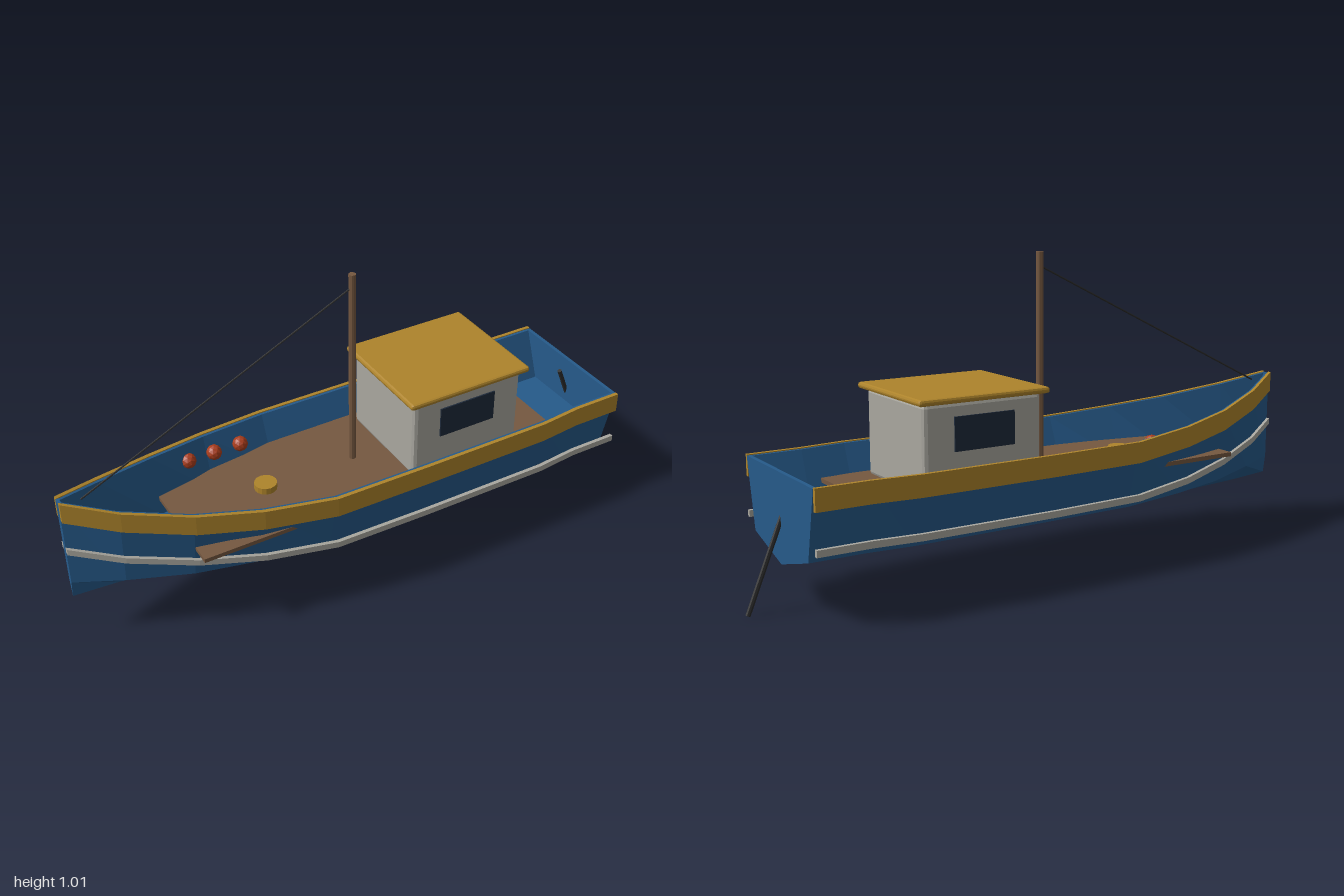
import * as THREE from 'three';
import { RoundedBoxGeometry } from 'three/addons/geometries/RoundedBoxGeometry.js';

const mat = (name, color) => {
  const m = new THREE.MeshStandardMaterial({ color });
  m.name = name;
  m.flatShading = true;
  return m;
};

// Hull stations from bow to stern: x, half beam, sheer height, chine height, keel height, stripe height
const STATIONS = [
  [-1, 0.012, 0.545, 0.235, 0.172, 0.365],
  [-0.85, 0.09, 0.503, 0.225, 0.161, 0.325],
  [-0.65, 0.168, 0.464, 0.21, 0.152, 0.287],
  [-0.45, 0.222, 0.44, 0.204, 0.146, 0.259],
  [-0.22, 0.26, 0.422, 0.198, 0.141, 0.24],
  [0.1, 0.262, 0.42, 0.196, 0.14, 0.236],
  [0.56, 0.262, 0.42, 0.195, 0.14, 0.236],
  [0.71, 0.247, 0.42, 0.195, 0.14, 0.236],
  [0.88, 0.247, 0.42, 0.195, 0.14, 0.236],
].map(([x, w, top, chineY, keel, stripe]) => ({ x, w, top, chineY, keel, stripe, chineW: w * 0.805 }));

// Skin closed rings of [z, y] points placed along x; caps need a convex ring
function loft(xs, rings, caps) {
  const pos = [];
  const put = (k, i) => pos.push(xs[k], rings[k][i][1], rings[k][i][0]);
  const n = rings[0].length;
  const last = rings.length - 1;
  for (let k = 0; k < last; k++) {
    for (let i = 0; i < n; i++) {
      const j = (i + 1) % n;
      put(k, i); put(k, j); put(k + 1, j);
      put(k, i); put(k + 1, j); put(k + 1, i);
    }
  }
  if (caps) {
    for (let i = 1; i < n - 1; i++) {
      put(0, 0); put(0, i + 1); put(0, i);
      put(last, 0); put(last, i); put(last, i + 1);
    }
  }
  const g = new THREE.BufferGeometry();
  g.setAttribute('position', new THREE.Float32BufferAttribute(pos, 3));
  g.computeVertexNormals();
  return g;
}

// Outer hull section from the left sheer round the keel to the other sheer
const outerRing = (s) => [
  [s.w, s.top - 0.003], [s.chineW, s.chineY], [0, s.keel],
  [-s.chineW, s.chineY], [-s.w, s.top - 0.003],
];

// Hull section with an inner skin and flat floor
function shellRing(s) {
  const inner = Math.max(s.w - 0.012, 0.001);
  const floor = s.chineW * 0.86;
  const floorY = s.chineY + 0.055;
  return [...outerRing(s), [-inner, s.top - 0.003], [-floor, floorY], [floor, floorY], [inner, s.top - 0.003]];
}

// Upright band following the plan outline on one side
function sideBand(side, yTop, height, thickness) {
  const rings = STATIONS.map((s) => {
    const y = yTop(s);
    const a = s.w - 0.002, b = s.w + thickness;
    const r = [[b, y], [b, y - height], [a, y - height], [a, y]];
    return side > 0 ? r : r.map(([z, v]) => [-z, v]).reverse();
  });
  return loft(STATIONS.map((s) => s.x), rings, true);
}

// Round bar between two points
function bar(a, b, radius, sides) {
  const from = new THREE.Vector3(...a), to = new THREE.Vector3(...b);
  const dir = to.clone().sub(from);
  const g = new THREE.CylinderGeometry(radius, radius, dir.length(), sides);
  g.applyQuaternion(new THREE.Quaternion().setFromUnitVectors(new THREE.Vector3(0, 1, 0), dir.normalize()));
  const mid = from.add(to).multiplyScalar(0.5);
  return g.translate(mid.x, mid.y, mid.z);
}

export function createModel() {
  const group = new THREE.Group();
  group.name = 'fishingBoat';
  const blue = mat('hullBlue', 0x265a8a);
  const ochre = mat('ochre', 0xae842b);
  const brown = mat('deckBrown', 0x755840);
  const grey = mat('cabinGrey', 0xa9a79f);
  const glass = mat('darkGlass', 0x1e2a3a);
  const red = mat('floatRed', 0xa83c1c);
  const black = mat('ironBlack', 0x2a2a2a);

  const add = (name, geometry, material, x = 0, y = 0, z = 0) => {
    const m = new THREE.Mesh(geometry, material);
    m.name = name;
    m.position.set(x, y, z);
    group.add(m);
    return m;
  };

  // Hull shell, stem and transom
  const bow = STATIONS[0], stern = STATIONS[STATIONS.length - 1];
  add('hull', loft(STATIONS.map((s) => s.x), STATIONS.map(shellRing), false), blue);
  add('stem', loft([bow.x, bow.x + 0.01], [outerRing(bow), outerRing(bow)], true), blue);
  add('transom', loft([stern.x - 0.012, stern.x + 0.001], [outerRing(stern), outerRing(stern)], true), blue);

  // Rub rails and stripes on both sides
  for (const side of [1, -1]) {
    const label = side > 0 ? 'Front' : 'Back';
    add('rail' + label, sideBand(side, (s) => s.top, 0.068, 0.011), ochre);
    add('stripe' + label, sideBand(side, (s) => s.stripe + 0.01, 0.021, 0.011), grey);
  }

  // Deck and hatch
  add('deck', new THREE.BoxGeometry(1.31, 0.014, 0.43), brown, 0.007, 0.32, 0);
  add('hatch', new THREE.CylinderGeometry(0.037, 0.037, 0.024, 16), ochre, -0.335, 0.337, 0);

  // Cabin, roof and side windows
  add('cabin', new RoundedBoxGeometry(0.405, 0.28, 0.37, 1, 0.014), grey, 0.305, 0.46, 0);
  add('cabinRoof', new RoundedBoxGeometry(0.45, 0.02, 0.41, 1, 0.008), ochre, 0.305, 0.607, 0);
  for (const side of [1, -1]) {
    add('window', new THREE.BoxGeometry(0.206, 0.105, 0.008), glass, 0.303, 0.503, side * 0.186);
  }

  // Mast with forestay
  add('mast', new THREE.CylinderGeometry(0.012, 0.012, 0.69, 10), brown, -0.015, 0.667, 0);
  add('forestay', bar([-0.015, 0.967, 0], [-0.93, 0.522, 0], 0.003, 6), black);

  // Steering shaft through the transom
  add('rudderShaft', bar([0.833, 0.385, 0], [0.988, 0.004, 0], 0.008, 8), black);

  // Floats along the inside of the far side
  for (const x of [-0.52, -0.43, -0.337]) {
    add('float', new THREE.IcosahedronGeometry(0.026, 1), red, x, 0.39, -0.175);
  }
  return group;
}
